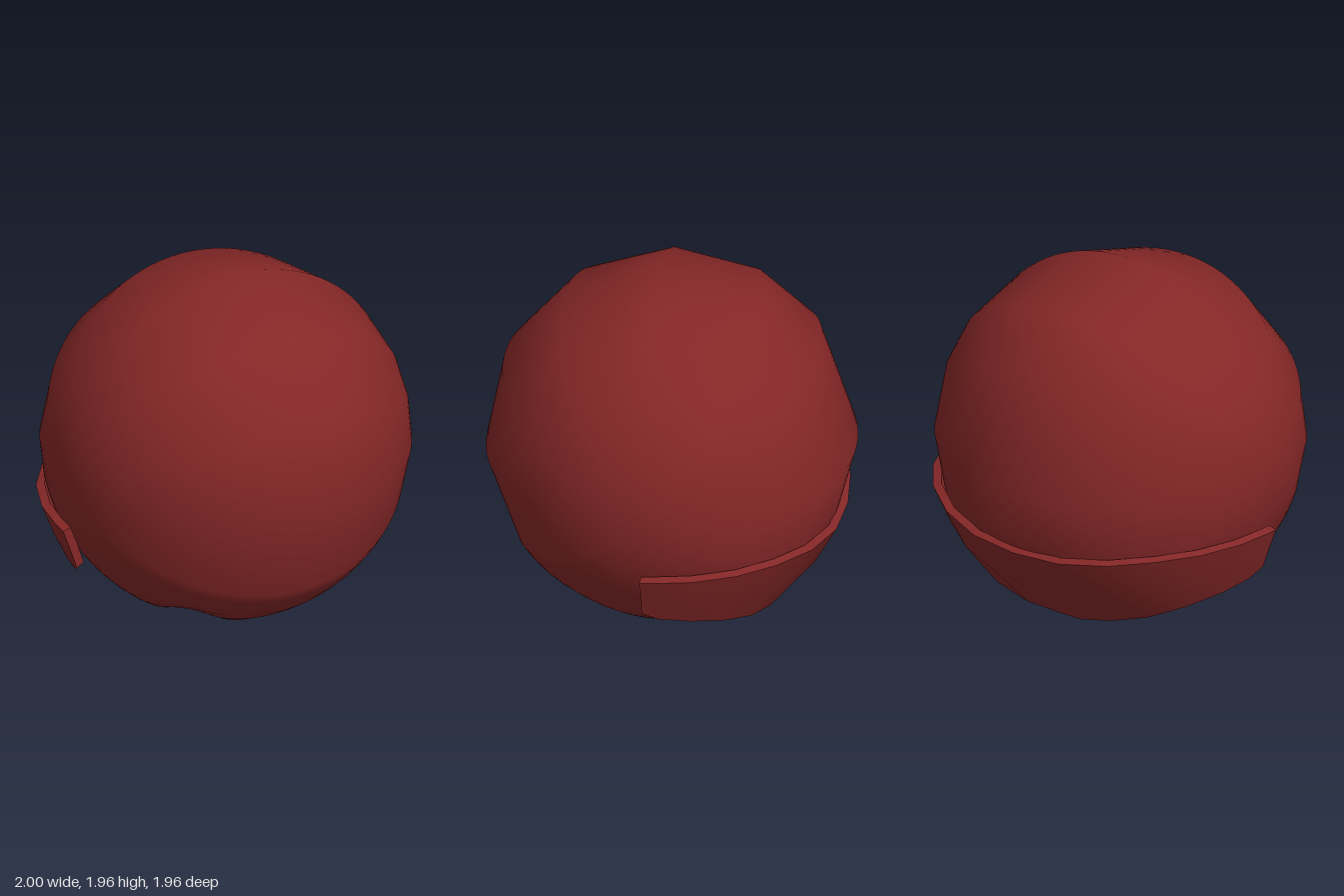
import * as THREE from 'three';
import { toCreasedNormals } from 'three/addons/utils/BufferGeometryUtils.js';

const CY = 0.975, R = 0.98, RAD = Math.PI / 180;
const NECK_TOP = 0.36; // roof height of the neck recess

// Builds an indexed grid from rows of equal length, each row optionally closed
function gridGeometry(rows, closeRows, closeColumns, caps) {
  const n = rows[0].length, m = rows.length, index = [];
  for (let i = 0; i < (closeRows ? m : m - 1); i++) {
    for (let j = 0; j < (closeColumns ? n : n - 1); j++) {
      const a = i * n + j, b = i * n + (j + 1) % n;
      const c = ((i + 1) % m) * n + j, d = ((i + 1) % m) * n + (j + 1) % n;
      index.push(a, c, b, b, c, d);
    }
  }
  if (caps) {
    const e = (m - 1) * n;
    for (let j = 1; j < n - 1; j++) {
      index.push(0, j, j + 1, e, e + j + 1, e + j);
    }
  }
  const g = new THREE.BufferGeometry();
  g.setAttribute('position', new THREE.Float32BufferAttribute(rows.flat().flatMap(p => p.toArray()), 3));
  g.setIndex(index);
  g.computeVertexNormals();
  return g;
}

// Eye frame for one side: centre, outward direction, long axis
function eyeFrame(side) {
  const centre = new THREE.Vector3(0.33 * side, 0.19, 0.26);
  const out = new THREE.Vector3(0.36 * side, -0.87, 0.3).normalize();
  const long = new THREE.Vector3(0.18 * side, 0.11, 0.21);
  long.addScaledVector(out, -long.dot(out)).normalize();
  const short = new THREE.Vector3().crossVectors(out, long);
  return { centre, out, long, short };
}

// Round head: longitudes about the x axis, sunken eye sockets and neck recess
function headGeometry() {
  const neck = [-124, -112, -102.5];
  const angles = [-126, ...neck, -101, -96, -90, -85.5, -81, -75.5, -70, -64, -58, -52, -46, -40, -34.5,
    -4, 25, 54, 86, 118.6, 143.6, 180, 208, 221];
  const frames = [eyeFrame(1), eyeFrame(-1)];
  const rows = angles.map(deg => {
    const row = [];
    for (let j = 0; j <= 48; j++) {
      const a = Math.PI * j / 48;
      let rad = R * Math.sin(a);
      const drop = -rad * Math.sin(deg * RAD);
      if (neck.includes(deg) && drop > CY - NECK_TOP) rad *= (CY - NECK_TOP) / drop;
      const p = new THREE.Vector3(R * Math.cos(a), rad * Math.sin(deg * RAD), rad * Math.cos(deg * RAD));
      if (deg > -101 && deg < -30) {
        const q = p.clone().setY(p.y + CY);
        let sink = 0;
        for (const f of frames) {
          const d = q.clone().sub(f.centre);
          const l = d.dot(f.long) / 0.17, s = d.dot(f.short) / 0.1;
          sink += 0.14 * Math.exp(-l * l - s * s);
        }
        p.multiplyScalar(1 - Math.min(sink, 0.15));
      }
      p.y += CY;
      row.push(p);
    }
    return row;
  });
  return gridGeometry(rows, true, false, false);
}

// Thick collar wrapped around the lower back: [azimuth from back, top y, bottom y]
function collarGeometry() {
  const half = [[0, 0.62, 0.12], [17, 0.63, 0.14], [33, 0.655, 0.19], [48, 0.68, 0.235],
    [62, 0.685, 0.3], [76, 0.685, 0.35], [87, 0.68, 0.38], [92, 0.67, 0.43]];
  const stations = [...half.slice(1).reverse().map(([a, t, b]) => [-a, t, b]), ...half];
  const rows = stations.map(([az, top, bottom]) => {
    const s = Math.sin(az * RAD), c = Math.cos(az * RAD);
    const r = 1.0 + 0.045 * Math.abs(s);
    const outer = [bottom, (top + bottom) / 2, top].map(y => {
      const k = r + (y === bottom ? 0.02 : 0);
      const flat = Math.sqrt(k * k - (y - CY) ** 2);
      return new THREE.Vector3(flat * s, y - CY, -flat * c);
    });
    const inner = outer.map(p => p.clone().multiplyScalar(0.955)).reverse();
    return [...outer, ...inner].map(p => p.setY(p.y + CY));
  });
  // Rows run from -x to +x, so reverse them to face outwards
  return toCreasedNormals(gridGeometry(rows.reverse(), false, true, true), 0.7);
}

export function createModel() {
  const group = new THREE.Group();
  const red = new THREE.MeshStandardMaterial({ color: 0x852727 });
  red.name = 'dark red';
  red.side = THREE.DoubleSide;
  const grey = new THREE.MeshStandardMaterial({ color: 0x454b4b });
  grey.name = 'dark grey';

  const add = (name, geometry, material) => {
    const mesh = new THREE.Mesh(geometry, material);
    mesh.name = name;
    group.add(mesh);
    return mesh;
  };
  add('head', headGeometry(), red);
  add('collar', collarGeometry(), red);

  // Slanted eyes set into the sockets
  for (const side of [1, -1]) {
    const f = eyeFrame(side);
    const eye = add(side > 0 ? 'leftEye' : 'rightEye', new THREE.SphereGeometry(1, 12, 8), grey);
    eye.scale.set(0.15, 0.085, 0.035);
    eye.quaternion.setFromRotationMatrix(new THREE.Matrix4().makeBasis(f.long, f.short, f.out));
    eye.position.copy(f.centre).addScaledVector(f.out, -0.01);
  }
  return group;
}
